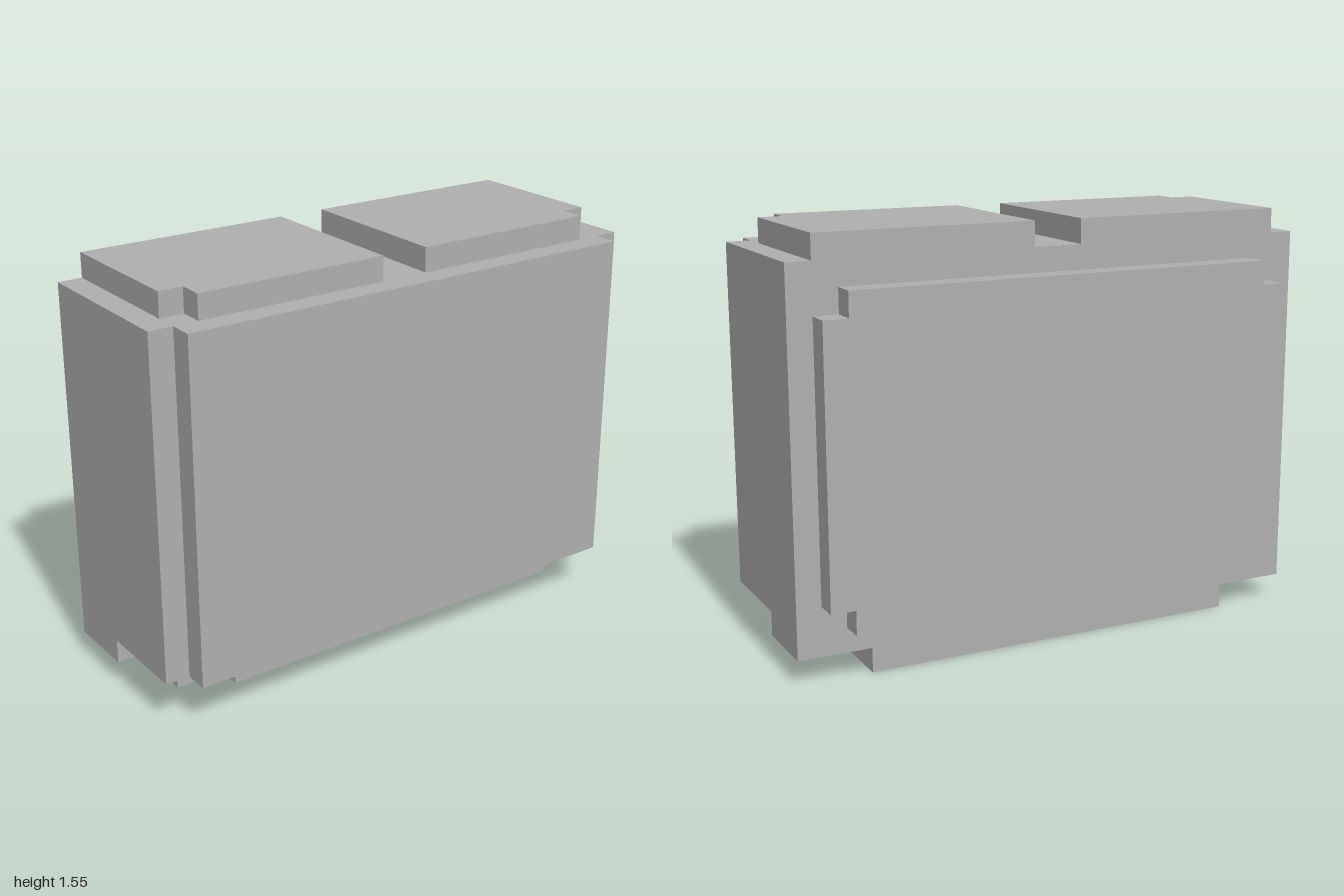
import * as THREE from 'three';

const U = 1 / 11; // block unit

// Extrudes an outline (in units) one way: 'y' = outline in x/z, 'z' = outline in x/y
function slab(name, material, points, axis, from, to) {
  const flip = axis === 'y' ? -1 : 1;
  const shape = new THREE.Shape(points.map(([a, b]) => new THREE.Vector2(a * U, b * U * flip)));
  const geometry = new THREE.ExtrudeGeometry(shape, { depth: (to - from) * U, bevelEnabled: false });
  geometry.translate(0, 0, from * U);
  if (axis === 'y') geometry.rotateX(-Math.PI / 2);
  const mesh = new THREE.Mesh(geometry, material);
  mesh.name = name;
  return mesh;
}

// Closes a right-hand outline with its mirror image across x = 0
const mirrored = (half) => [...half, ...half.map(([a, b]) => [-a, b]).reverse()];

export function createModel() {
  const model = new THREE.Group();
  model.name = 'blockBody';
  const grey = new THREE.MeshStandardMaterial({ color: 0xafafaf });
  grey.name = 'lightGrey';

  // Main block and front plate
  model.add(slab('mainBlock', grey, mirrored([[11, -3.5], [11, 3.5]]), 'y', 2, 16));
  model.add(slab('frontPlate', grey, mirrored([[10, 2], [10, 16]]), 'z', 3.5, 4.5));

  // Back plate with four notched corners
  model.add(slab('backPlate', grey,
    mirrored([[9, 2], [9, 3], [10, 3], [10, 14], [9, 14], [9, 15]]), 'z', -4.5, -3.5));

  // Two top pads, each notched at its outer front corner
  for (const [side, s] of [['left', 1], ['right', -1]]) {
    const pad = [[1, -3.5], [10, -3.5], [10, 2.5], [9, 2.5], [9, 3.5], [1, 3.5]];
    model.add(slab(side + 'TopPad', grey, pad.map(([x, z]) => [x * s, z]), 'y', 16, 17));
  }

  // Stepped underside
  model.add(slab('lowerStep', grey,
    mirrored([[11, -3.5], [11, -0.5], [10, -0.5], [10, 2.5], [8, 2.5], [8, 3.5]]), 'y', 1, 2));
  model.add(slab('base', grey,
    mirrored([[8, -3.5], [8, 0.5], [7, 0.5], [7, 1.5]]), 'y', 0, 1));

  return model;
}
